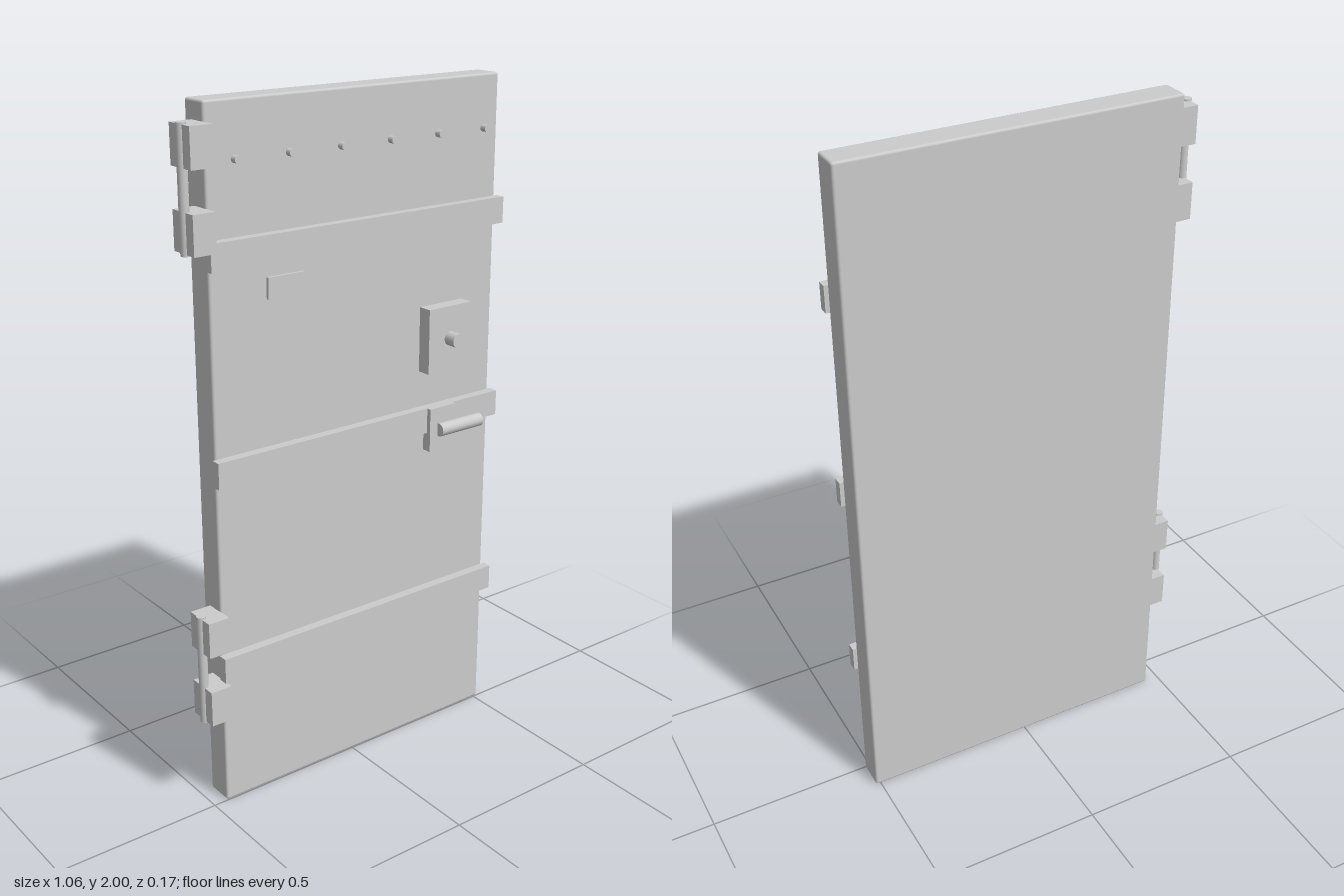
import * as THREE from 'three';
import { RoundedBoxGeometry } from 'three/addons/geometries/RoundedBoxGeometry.js';

export function createModel() {
  const model = new THREE.Group();
  model.name = 'armouredDoor';
  const material = new THREE.MeshStandardMaterial({ color: 0xcccccc });

  const add = (name, geometry, x, y, z, parent = model) => {
    const mesh = new THREE.Mesh(geometry, material);
    mesh.name = name;
    mesh.position.set(x, y, z);
    parent.add(mesh);
    return mesh;
  };
  // Box given by its limits on each axis
  const box = (name, [x0, x1], [y0, y1], [z0, z1], parent) =>
    add(name, new THREE.BoxGeometry(x1 - x0, y1 - y0, z1 - z0),
      (x0 + x1) / 2, (y0 + y1) / 2, (z0 + z1) / 2, parent);
  // Cylinder pointing forwards, from z0 to z1
  const stud = (name, radius, x, y, z0, z1) => {
    const geometry = new THREE.CylinderGeometry(radius, radius, z1 - z0, 20).rotateX(Math.PI / 2);
    return add(name, geometry, x, y, (z0 + z1) / 2);
  };

  // Door slab with slightly softened edges
  add('doorSlab', new RoundedBoxGeometry(0.972, 2, 0.085, 2, 0.007), 0.029, 1, -0.0425);

  // Horizontal reinforcing bands
  for (const y of [0.441, 1.027, 1.615]) {
    box('reinforcingBand', [-0.465, 0.525], [y - 0.038, y + 0.038], [0, 0.028]);
  }

  // Hinges: two knuckle blocks joined by a pin
  for (const y of [0.453, 1.789]) {
    const hinge = new THREE.Group();
    hinge.name = 'hinge';
    hinge.position.y = y;
    model.add(hinge);
    for (const side of [-1, 1]) {
      const c = side * 0.107;
      box('hingeBlock', [-0.521, -0.455], [c - 0.053, c + 0.053], [-0.054, 0.041], hinge);
    }
    add('hingePin', new THREE.CylinderGeometry(0.0135, 0.0135, 0.33, 20), -0.517, 0, -0.006, hinge);
  }

  // Row of rivets near the top
  for (let i = 0; i < 6; i++) stud('rivet', 0.01, -0.381 + i * 0.1656, 1.854, 0.017, 0.036);

  // Small name plate
  box('plate', [-0.303, -0.186], [1.486, 1.545], [0.032, 0.041]);

  // Lock box with its round knob
  box('lockBox', [0.243, 0.398], [1.174, 1.366], [0, 0.043]);
  stud('lockKnob', 0.021, 0.322, 1.27, 0.04, 0.081);

  // Lever handle on its back plate
  box('handlePlate', [0.254, 0.35], [0.933, 1.065], [0.012, 0.042]);
  const lever = new THREE.CylinderGeometry(0.02, 0.02, 0.157, 24).rotateZ(Math.PI / 2);
  add('handleLever', lever, 0.361, 0.998, 0.048);

  return model;
}
